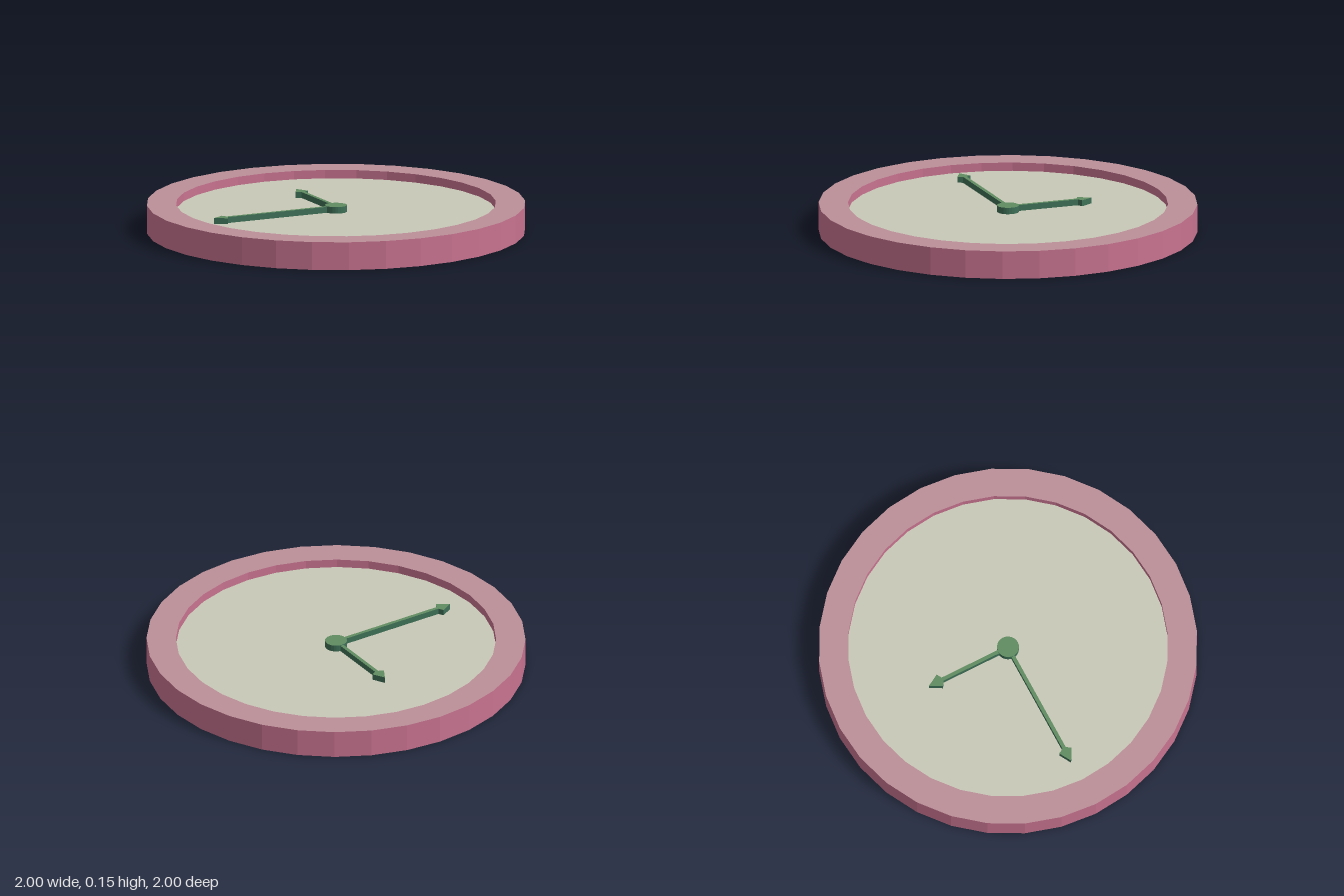
import * as THREE from 'three';

const RIM_TOP = 0.15, FACE = 0.105, OUTER = 1, INNER = 0.845, SIDES = 32;

const paint = (color) => new THREE.MeshStandardMaterial({ color, flatShading: true });

export function createModel() {
  const group = new THREE.Group();
  const rimSide = paint(0xc87390), rimTop = paint(0xbc9099), beige = paint(0xc9c9b8);
  const handTop = paint(0x628d62), handSide = paint(0x3e7057);

  const add = (name, geometry, material, parent = group) => {
    const mesh = new THREE.Mesh(geometry, material);
    mesh.name = name;
    parent.add(mesh);
    return mesh;
  };
  // Surface of revolution from [radius, height] pairs
  const lathe = (points) =>
    new THREE.LatheGeometry(points.map(([r, y]) => new THREE.Vector2(r, y)), SIDES);

  // Case: outer wall, top ring, inner wall, recessed dial and base
  add('rimOuterWall', lathe([[OUTER, 0], [OUTER, RIM_TOP]]), rimSide);
  add('rimTop', lathe([[OUTER, RIM_TOP], [INNER, RIM_TOP]]), rimTop);
  add('rimInnerWall', lathe([[INNER, RIM_TOP], [INNER, FACE]]), rimSide);
  add('dial', lathe([[INNER, FACE], [0, FACE]]), beige);
  add('base', lathe([[0, 0], [OUTER, 0]]), beige);

  // Hub at the centre
  const hub = add('hub', new THREE.CylinderGeometry(0.058, 0.058, 0.035, 24),
    [handSide, handTop, handTop]);
  hub.position.y = FACE + 0.0175;

  // Arrow-shaped hand, pointing to -z before it is turned
  const hand = (name, length, angle) => {
    const w = 0.01, head = 0.037;
    const half = [[w, 0], [w, length - 0.08], [head, length - 0.065]];
    const outline = [...half, [0, length], ...half.map(([x, y]) => [-x, y]).reverse()];
    const shape = new THREE.Shape(outline.map(([x, y]) => new THREE.Vector2(x, y)));
    const geometry = new THREE.ExtrudeGeometry(shape, { depth: 0.032, bevelEnabled: false });
    geometry.rotateX(-Math.PI / 2);
    const mesh = add(name, geometry, [handTop, handSide]);
    mesh.position.y = FACE;
    mesh.rotation.y = angle;
  };
  hand('hourHand', 0.47, 0);
  hand('minuteHand', 0.72, Math.PI / 2);

  return group;
}
